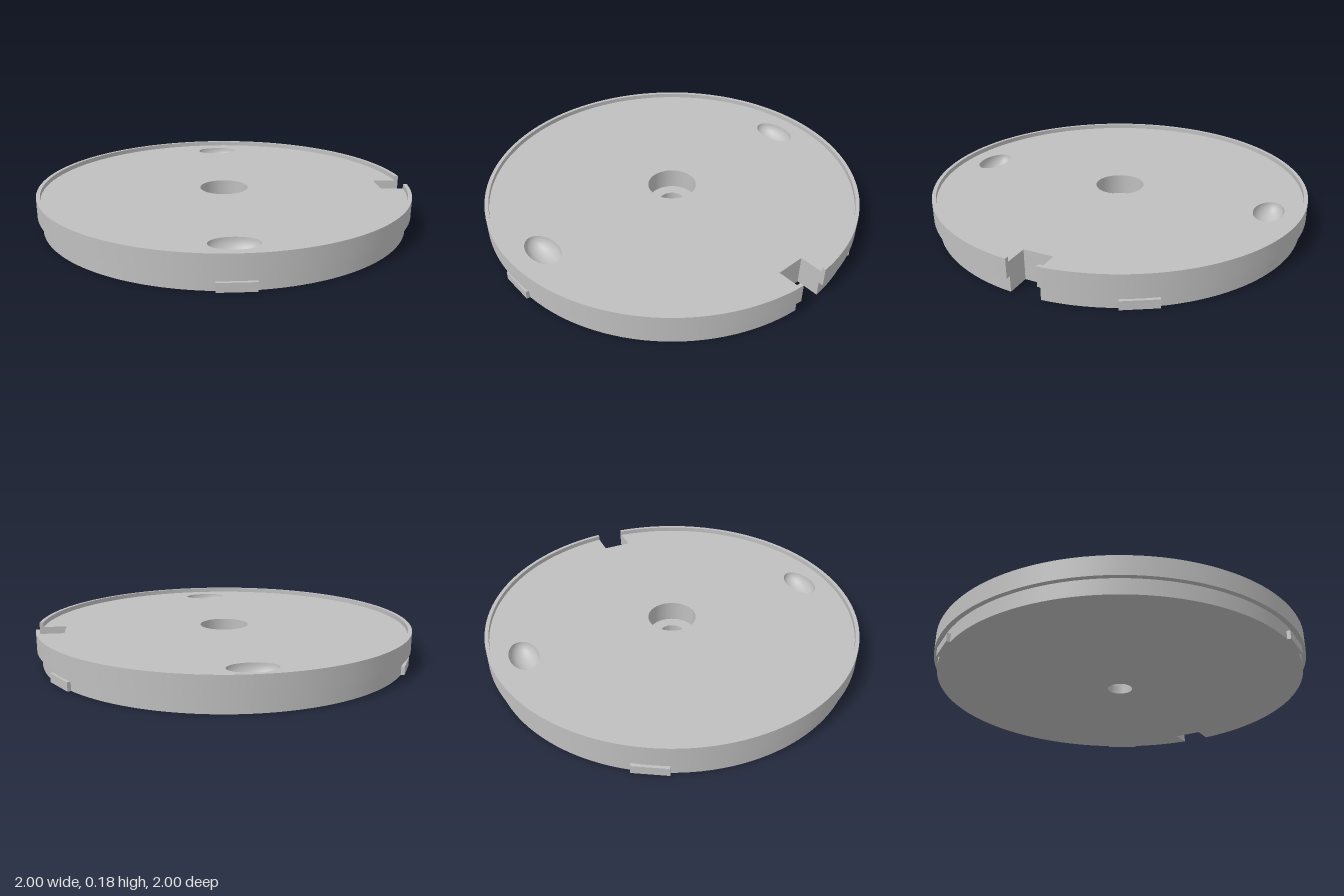
import * as THREE from 'three';
import { toCreasedNormals } from 'three/addons/utils/BufferGeometryUtils.js';

const NOTCH_X = 0.855, NOTCH_HALF = 0.077;
const R_RIM = 1, R_RECESS = 0.98, R_BASE = 0.976, R_BORE = 0.13, R_HOLE = 0.067;
const Y_STEP = 0.08, Y_FLOOR = 0.155, Y_TOP = 0.18, Y_BORE = 0.045;
const BOWL = { x: 0.12, z: 0.075, depth: 0.075, at: 0.825 };

// Arc that leaves a gap for the edge notch (counter-clockwise seen from above)
function arc(r, n = 128) {
  const a = Math.asin(NOTCH_HALF / r);
  return Array.from({ length: n + 1 }, (_, i) => {
    const t = a + (i / n) * (2 * Math.PI - 2 * a);
    return new THREE.Vector2(r * Math.cos(t), r * Math.sin(t));
  });
}

// Notched disc and notched ring outlines
const disc = (r) => [...arc(r), new THREE.Vector2(NOTCH_X, -NOTCH_HALF), new THREE.Vector2(NOTCH_X, NOTCH_HALF)];
const ring = (outer, inner) => [...arc(outer), ...arc(inner).reverse()];

// Clockwise hole outline
function hole(rx, ry = rx, cy = 0, n = 48) {
  return Array.from({ length: n }, (_, i) => {
    const t = (-i / n) * 2 * Math.PI;
    return new THREE.Vector2(rx * Math.cos(t), cy + ry * Math.sin(t));
  });
}

// Horizontal face at height y
function plate(outline, holes, y, up = true) {
  const shape = new THREE.Shape(outline);
  shape.holes = holes.map((h) => new THREE.Path(h));
  const g = new THREE.ShapeGeometry(shape);
  if (up) g.rotateX(-Math.PI / 2);
  else g.rotateX(Math.PI / 2);
  return g.translate(0, y, 0);
}

// Vertical wall standing on a closed outline
function wall(outline, y0, y1) {
  const v = [];
  outline.forEach((p, i) => {
    const q = outline[(i + 1) % outline.length];
    const a = [p.x, y0, -p.y], b = [q.x, y0, -q.y], c = [q.x, y1, -q.y], d = [p.x, y1, -p.y];
    v.push(...a, ...b, ...c, ...a, ...c, ...d);
  });
  const g = new THREE.BufferGeometry();
  g.setAttribute('position', new THREE.Float32BufferAttribute(v, 3));
  return toCreasedNormals(g, Math.PI / 6);
}

export function createModel() {
  const group = new THREE.Group();
  const grey = new THREE.MeshStandardMaterial({ color: 0xbfbfbf });
  grey.name = 'grey';
  const add = (name, geometry) => {
    const mesh = new THREE.Mesh(geometry, grey);
    mesh.name = name;
    group.add(mesh);
    return mesh;
  };

  // Stepped body with the notch cut through it
  add('bottomFace', plate(disc(R_BASE), [hole(R_HOLE)], 0, false));
  add('baseWall', wall(disc(R_BASE), 0, Y_STEP));
  add('stepUnderside', plate(ring(R_RIM, R_BASE), [], Y_STEP, false));
  add('upperWall', wall(disc(R_RIM), Y_STEP, Y_FLOOR));

  // Raised rim around the recessed top
  add('rimWall', wall(ring(R_RIM, R_RECESS), Y_FLOOR, Y_TOP));
  add('rimTop', plate(ring(R_RIM, R_RECESS), [], Y_TOP));
  const bowlHoles = [1, -1].map((s) => hole(BOWL.x, BOWL.z, s * BOWL.at));
  add('topFace', plate(disc(R_RECESS), [hole(R_BORE), ...bowlHoles], Y_FLOOR));

  // Stepped centre hole
  add('boreWall', wall(hole(R_BORE), Y_BORE, Y_FLOOR));
  add('boreFloor', plate(hole(R_BORE).reverse(), [hole(R_HOLE)], Y_BORE));
  add('holeWall', wall(hole(R_HOLE), 0, Y_BORE));

  // Oval finger hollows
  const profile = Array.from({ length: 17 }, (_, i) => {
    const t = (i / 16) * Math.PI / 2;
    return new THREE.Vector2(i === 16 ? 0 : Math.cos(t), -Math.sin(t));
  });
  for (const s of [1, -1]) {
    const bowl = new THREE.LatheGeometry(profile, 48).scale(BOWL.x, BOWL.depth, BOWL.z);
    add('fingerHollow', bowl).position.set(0, Y_FLOOR, s * BOWL.at);
  }

  // Three locking tabs around the base
  for (let i = 0; i < 3; i++) {
    const tab = new THREE.BoxGeometry(0.18, 0.045, 0.04).translate(0, 0.0225, 0.97);
    add('lockingTab', tab).rotation.y = (i * 2 * Math.PI) / 3;
  }
  return group;
}
